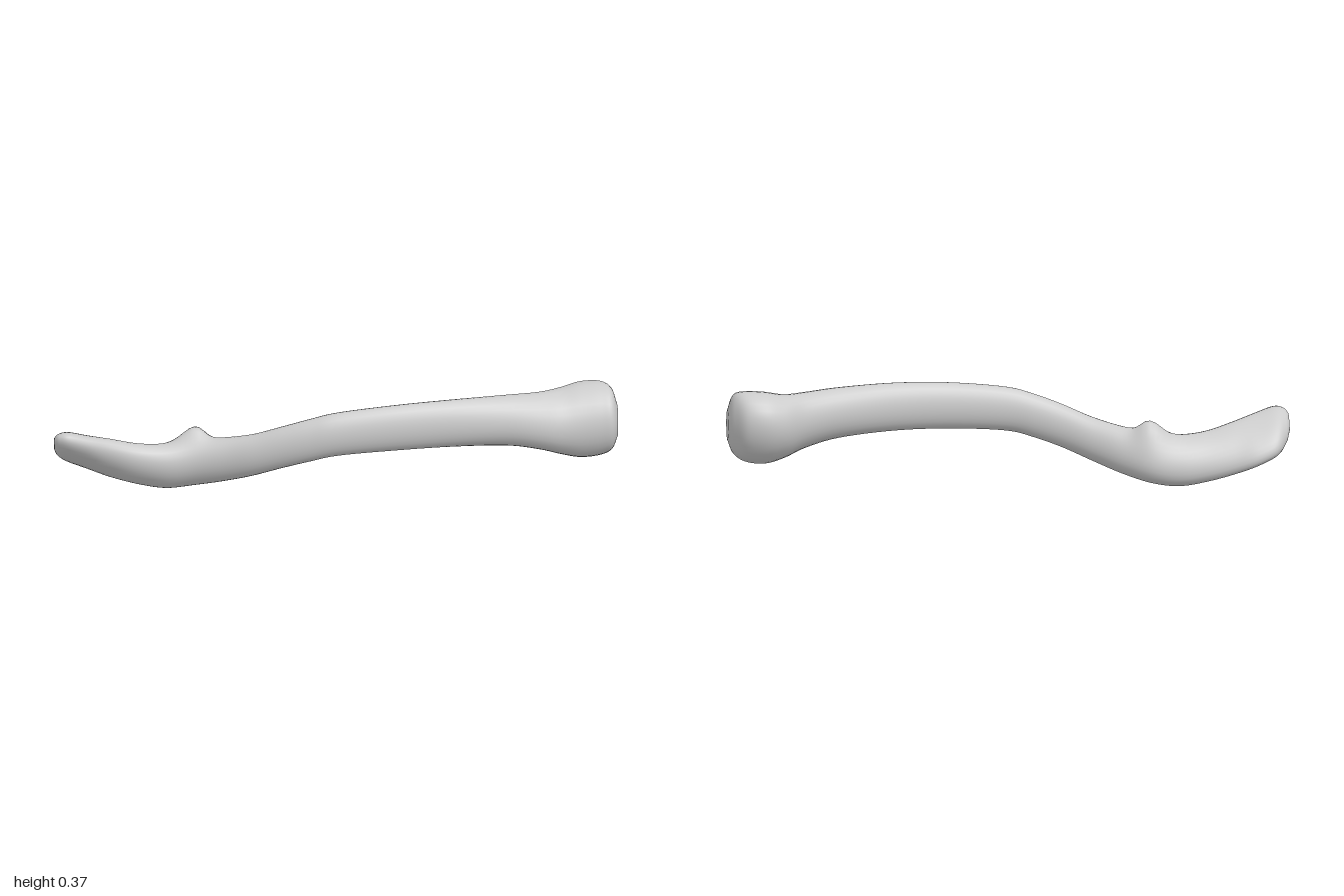
import * as THREE from 'three';

// Cross-sections along the bone: x, bottom, top, back z, front z, lean (90 = upright oval, less = leaning blade)
const SECTIONS = [
  [-1.0, 0.18, 0.235, -0.02, 0.045, 50],
  [-0.985, 0.145, 0.252, -0.06, 0.065, 47],
  [-0.95, 0.11, 0.258, -0.11, 0.079, 45],
  [-0.88, 0.077, 0.238, -0.127, 0.065, 47],
  [-0.8, 0.047, 0.215, -0.121, 0.04, 55],
  [-0.7, 0.02, 0.188, -0.122, 0.026, 65],
  [-0.6, 0.005, 0.18, -0.128, 0.023, 73],
  [-0.5, 0.017, 0.193, -0.122, 0.023, 77],
  [-0.4, 0.044, 0.21, -0.075, 0.05, 80],
  [-0.3, 0.08, 0.236, -0.02, 0.09, 83],
  [-0.2, 0.12, 0.275, 0.025, 0.122, 85],
  [-0.1, 0.153, 0.31, 0.053, 0.144, 88],
  [0.0, 0.177, 0.336, 0.063, 0.153, 90],
  [0.2, 0.19, 0.357, 0.055, 0.148, 90],
  [0.4, 0.192, 0.365, 0.025, 0.13, 90],
  [0.6, 0.18, 0.362, -0.035, 0.105, 92],
  [0.72, 0.154, 0.356, -0.085, 0.088, 95],
  [0.8, 0.125, 0.357, -0.138, 0.075, 97],
  [0.87, 0.108, 0.371, -0.158, 0.068, 98],
  [0.94, 0.116, 0.374, -0.145, 0.063, 98],
  [0.98, 0.142, 0.357, -0.1, 0.057, 98],
  [1.0, 0.19, 0.3, -0.06, 0.03, 97],
];
const SIDES = 28, RINGS = 126;

function sectionSampler() {
  const spline = (pick) => new THREE.CatmullRomCurve3(
    SECTIONS.map((s) => new THREE.Vector3(...pick(s))), false, 'catmullrom', 0.5);
  const heights = spline((s) => [s[0], s[1], s[2]]);
  const depths = spline((s) => [s[3], s[4], s[5]]);
  return (u) => [...heights.getPoint(u).toArray(), ...depths.getPoint(u).toArray()];
}

function boneGeometry() {
  const sample = sectionSampler();
  const positions = [], index = [];
  for (let i = 0; i <= RINGS; i++) {
    const [x, y0, y1, z0, z1, lean] = sample(i / RINGS);
    const phi = THREE.MathUtils.degToRad(lean);
    const taper = 0.14 * THREE.MathUtils.smoothstep(x, 0.72, 0.9);
    for (let j = 0; j < SIDES; j++) {
      const t = (j / SIDES) * Math.PI * 2;
      const c = Math.cos(t);
      // Leaning oval that fills its box; the thick end narrows below
      const z = (z0 + z1) / 2 + ((z1 - z0) / 2) * Math.cos(t - phi) * (1 + taper * c * 0.7);
      let y = (y0 + y1) / 2 + ((y1 - y0) / 2) * c;
      // Small tubercle on the upper back edge
      const along = (x + 0.495) / (x > -0.495 ? 0.045 : 0.065);
      const across = (z + 0.065) / 0.045;
      y += 0.055 * Math.max(c, 0) * Math.exp(-along * along - across * across);
      positions.push(x, y, z);
    }
  }
  // Walls
  for (let i = 0; i < RINGS; i++) {
    for (let j = 0; j < SIDES; j++) {
      const k = (j + 1) % SIDES;
      const a = i * SIDES + j, b = i * SIDES + k;
      index.push(a, b, a + SIDES, b, b + SIDES, a + SIDES);
    }
  }
  // Rounded end caps
  const first = positions.length / 3;
  positions.push(-1.0, 0.208, 0.012, 1.0, 0.245, -0.015);
  const last = RINGS * SIDES;
  for (let j = 0; j < SIDES; j++) {
    const k = (j + 1) % SIDES;
    index.push(first, k, j, first + 1, last + j, last + k);
  }
  const geometry = new THREE.BufferGeometry();
  geometry.setAttribute('position', new THREE.Float32BufferAttribute(positions, 3));
  geometry.setIndex(index);
  geometry.computeVertexNormals();
  return geometry;
}

export function createModel() {
  const group = new THREE.Group();
  group.name = 'collarbone';
  const bone = new THREE.Mesh(boneGeometry(), new THREE.MeshStandardMaterial({ color: 0xcccccc }));
  bone.name = 'boneShaft';
  group.add(bone);
  return group;
}
